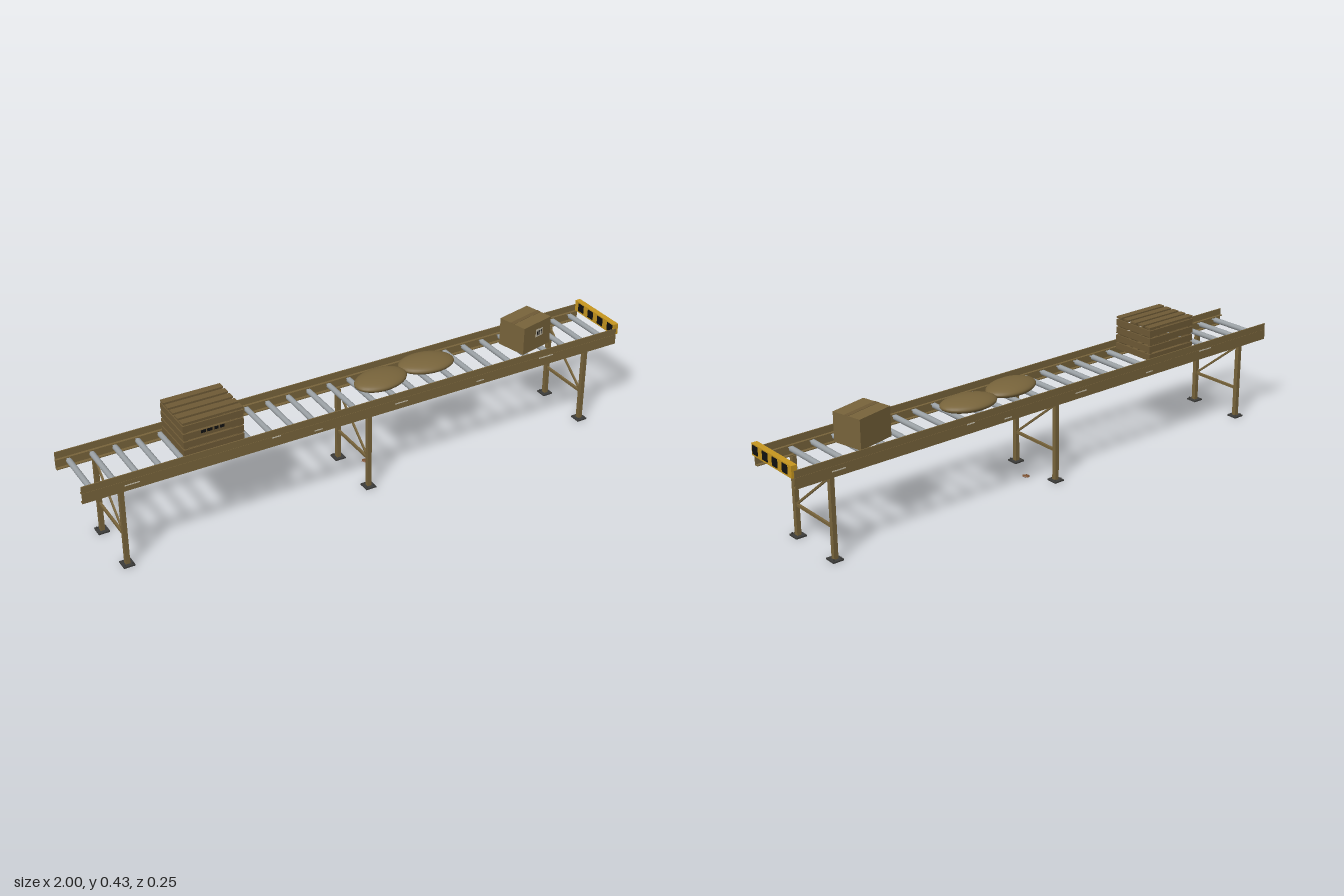
import * as THREE from 'three';

const mat = (name, color, side = THREE.FrontSide) => {
  const m = new THREE.MeshStandardMaterial({ color, side });
  m.name = name;
  return m;
};

export function createModel() {
  const brown = mat('weathered brown', 0x78643b);
  const wood = mat('crate wood', 0x6e5a36);
  const steel = mat('roller steel', 0x999fa3);
  const dark = mat('dark steel', 0x3c3c3a);
  const yellow = mat('safety yellow', 0xc6961f);
  const black = mat('black paint', 0x101010);
  const pale = mat('pale paper', 0xc9c2ae);
  const rust = mat('rusty scrap', 0x7a5030);

  const model = new THREE.Group();
  model.name = 'rollerConveyor';

  const group = (name, parent = model) => {
    const g = new THREE.Group();
    g.name = name;
    parent.add(g);
    return g;
  };
  const mesh = (parent, name, geo, material, x, y, z) => {
    const m = new THREE.Mesh(geo, material);
    m.name = name;
    m.position.set(x, y, z);
    parent.add(m);
    return m;
  };
  // box given by its lower and upper limits on each axis
  const box = (parent, name, material, x0, x1, y0, y1, z0, z1) =>
    mesh(parent, name, new THREE.BoxGeometry(x1 - x0, y1 - y0, z1 - z0), material,
      (x0 + x1) / 2, (y0 + y1) / 2, (z0 + z1) / 2);
  // same, with z limits mirrored for side s = 1 or -1
  const sideBox = (parent, name, material, s, x0, x1, y0, y1, z0, z1) =>
    box(parent, name, material, x0, x1, y0, y1, Math.min(s * z0, s * z1), Math.max(s * z0, s * z1));

  // side rails: open channels facing inward, with an upright guard lip
  const chips = [[-0.84, 0.293, 0.05], [-0.35, 0.306, 0.03], [-0.2, 0.285, 0.03],
    [0.11, 0.295, 0.05], [0.42, 0.288, 0.03], [0.69, 0.305, 0.06]];
  for (const s of [1, -1]) {
    const rail = group(s > 0 ? 'frontRail' : 'backRail');
    sideBox(rail, 'railWeb', brown, s, -1, 0.99, 0.273, 0.309, 0.110, 0.1125);
    sideBox(rail, 'railTopFlange', brown, s, -1, 0.99, 0.306, 0.309, 0.099, 0.110);
    sideBox(rail, 'railBottomFlange', brown, s, -1, 0.99, 0.273, 0.276, 0.099, 0.110);
    sideBox(rail, 'guardLip', brown, s, -1, 0.99, 0.309, 0.332, 0.108, 0.1115);
    for (const [x, y, w] of chips) {
      sideBox(rail, 'paintChip', pale, s, s * x - w / 2, s * x + w / 2, y - 0.002, y + 0.002, 0.1125, 0.113);
    }
  }

  // rollers on thin axles
  const rollers = group('rollers');
  const rollerGeo = new THREE.CylinderGeometry(0.0095, 0.0095, 0.192, 16).rotateX(Math.PI / 2);
  const axleGeo = new THREE.CylinderGeometry(0.004, 0.004, 0.22, 8).rotateX(Math.PI / 2);
  for (let i = 0; i < 26; i++) {
    const x = -0.96 + i * 0.0763;
    mesh(rollers, 'roller', rollerGeo, steel, x, 0.2985, 0);
    mesh(rollers, 'axle', axleGeo, steel, x, 0.2985, 0);
  }

  // three braced leg frames
  const boltGeo = new THREE.CylinderGeometry(0.002, 0.002, 0.007, 6);
  for (const x of [-0.875, -0.008, 0.864]) {
    const frame = group('legFrame');
    for (const s of [1, -1]) {
      sideBox(frame, 'leg', brown, s, x - 0.0075, x + 0.0075, 0.004, 0.273, 0.095, 0.1105);
      sideBox(frame, 'footPlate', dark, s, x - 0.019, x + 0.019, 0, 0.005, 0.083, 0.123);
      for (const dx of [-0.013, 0.013]) mesh(frame, 'footBolt', boltGeo, dark, x + dx, 0.0075, s * 0.116);
    }
    box(frame, 'crossBar', brown, x - 0.004, x + 0.004, 0.105, 0.114, -0.096, 0.096);
    const brace = mesh(frame, 'diagonalBrace', new THREE.BoxGeometry(0.006, 0.007, 0.247),
      brown, x, 0.191, 0);
    brace.rotation.x = Math.atan2(0.156, 0.192);
  }

  // striped end stop
  const stop = group('endStop');
  box(stop, 'stopBar', yellow, 0.978, 0.998, 0.309, 0.349, -0.109, 0.111);
  for (const z of [0.0905, 0.035, -0.0195, -0.074]) {
    box(stop, 'stopStripe', black, 0.998, 1, 0.316, 0.345, z - 0.0143, z + 0.0143);
    box(stop, 'stopStripe', black, 0.976, 0.978, 0.316, 0.345, z - 0.0143, z + 0.0143);
  }

  // slatted crate
  const crate = group('crate');
  const [cx0, cx1, cz] = [-0.653, -0.447, 0.084];
  for (let i = 0; i < 5; i++) {
    const z = -0.0705 + i * 0.0353;
    box(crate, 'topSlat', wood, cx0, cx1, 0.425, 0.431, z - 0.0125, z + 0.0125);
    box(crate, 'floorSlat', wood, cx0 + 0.006, cx1 - 0.006, 0.309, 0.314, z - 0.0125, z + 0.0125);
  }
  for (let i = 0; i < 4; i++) {
    const y = 0.312 + i * 0.0285;
    for (const s of [1, -1]) {
      sideBox(crate, 'sideSlat', wood, s, cx0, cx1, y, y + 0.0225, cz - 0.005, cz);
    }
    for (const x of [cx0, cx1 - 0.005]) {
      box(crate, 'endSlat', wood, x, x + 0.005, y, y + 0.0225, -cz + 0.005, cz - 0.005);
    }
  }
  for (const s of [1, -1]) {
    for (const x of [cx0 + 0.005, cx1 - 0.017]) {
      sideBox(crate, 'cornerPost', wood, s, x, x + 0.012, 0.309, 0.425, cz - 0.013, cz - 0.005);
    }
  }
  for (const [x, w] of [[-0.585, 0.016], [-0.563, 0.018], [-0.541, 0.014], [-0.521, 0.014]]) {
    box(crate, 'stencilMark', black, x - w / 2, x + w / 2, 0.380, 0.390, cz, cz + 0.001);
  }

  // two slumped sacks
  const sackGeo = new THREE.SphereGeometry(1, 32, 20).scale(0.1, 0.0225, 0.066);
  const sackA = mesh(model, 'sack', sackGeo, brown, 0.096, 0.331, 0.002);
  sackA.rotation.y = 0.15;
  const sackB = mesh(model, 'sack', sackGeo, brown, 0.286, 0.331, -0.018);
  sackB.rotation.y = -0.12;

  // carton with tape and a printed label
  const carton = group('carton');
  carton.position.set(0.678, 0.308, 0);
  carton.rotation.y = 0.23;
  box(carton, 'cartonBody', brown, -0.068, 0.068, 0, 0.1, -0.055, 0.055);
  box(carton, 'tape', wood, -0.0685, 0.0685, 0.1, 0.1008, -0.008, 0.008);
  box(carton, 'label', pale, -0.007, 0.027, 0.046, 0.074, 0.055, 0.056);
  for (const x of [-0.001, 0.006, 0.011, 0.019]) {
    box(carton, 'labelBar', black, x, x + 0.003, 0.051, 0.067, 0.056, 0.0565);
  }

  // scrap lying on the floor
  const scrap = mesh(model, 'floorScrap', new THREE.IcosahedronGeometry(1, 0).scale(0.012, 0.004, 0.015),
    rust, 0.055, 0.008, -0.026);
  scrap.rotation.y = 0.5;

  return model;
}
